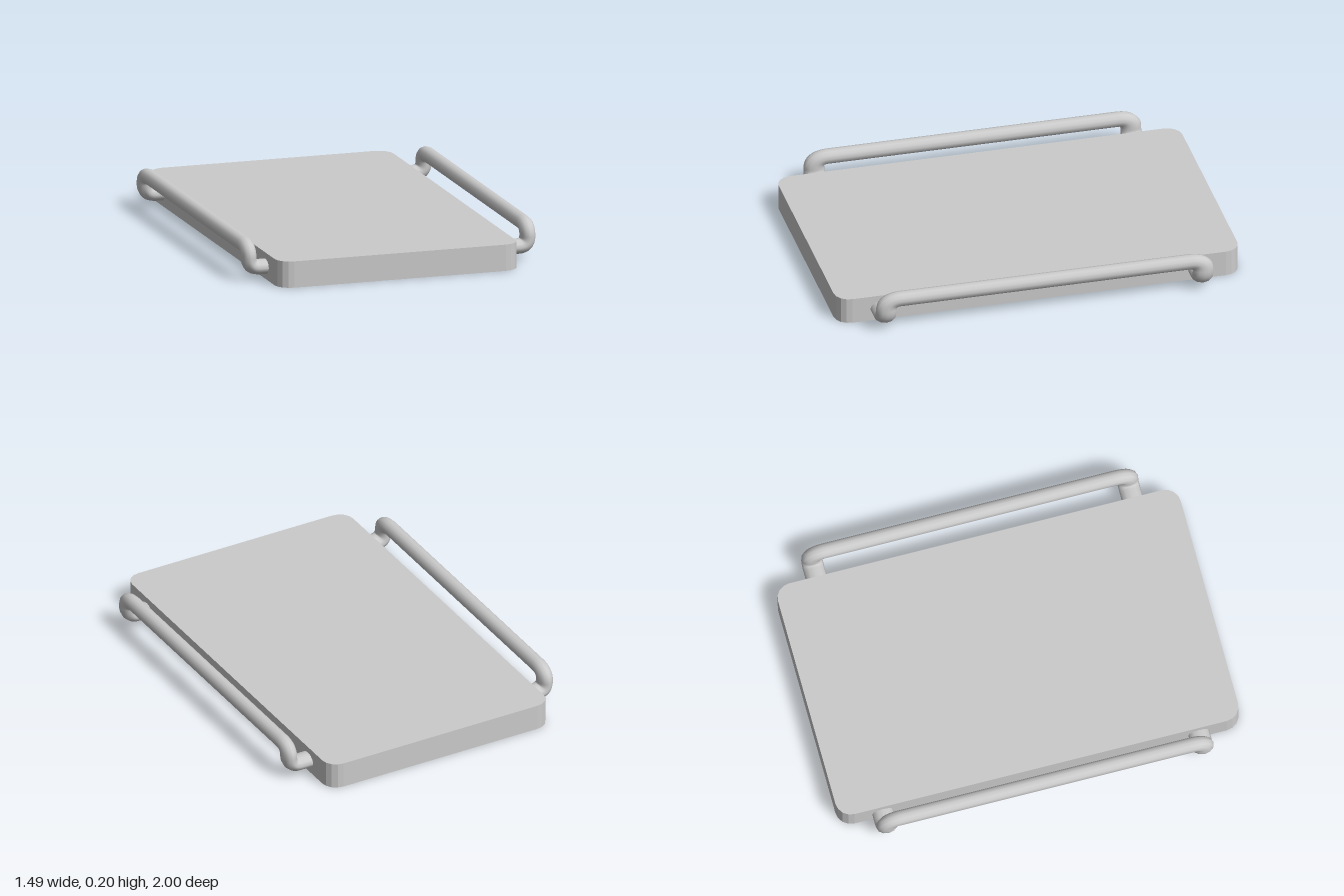
import * as THREE from 'three';

const material = new THREE.MeshStandardMaterial({ color: 0xcccccc });

// Flat slab with faceted rounded corners
function createBoard() {
  const x0 = -0.62, x1 = 0.60, z = 1, r = 0.075;
  const shape = new THREE.Shape();
  shape.moveTo(x0 + r, -z);
  shape.lineTo(x1 - r, -z);
  shape.absarc(x1 - r, -z + r, r, -Math.PI / 2, 0);
  shape.lineTo(x1, z - r);
  shape.absarc(x1 - r, z - r, r, 0, Math.PI / 2);
  shape.lineTo(x0 + r, z);
  shape.absarc(x0 + r, z - r, r, Math.PI / 2, Math.PI);
  shape.lineTo(x0, -z + r);
  shape.absarc(x0 + r, -z + r, r, Math.PI, Math.PI * 1.5);
  const geometry = new THREE.ExtrudeGeometry(shape, { depth: 0.13, bevelEnabled: false, curveSegments: 2 });
  geometry.rotateX(-Math.PI / 2);
  const board = new THREE.Mesh(geometry, material);
  board.name = 'board';
  return board;
}

// Bent tube: stub out of the board, up, along the side, and back in
function createHandle(side) {
  const stretch = 1.4; // tube is wider along z than it is tall
  const x = 0.706, low = 0.063, high = 0.163, z = 0.785 / stretch, bend = 0.05;
  const corners = [
    [0.58, low, z], [x, low, z], [x, high, z],
    [x, high, -z], [x, low, -z], [0.58, low, -z],
  ].map(([px, py, pz]) => new THREE.Vector3(side * px, py, pz));

  const path = new THREE.CurvePath();
  let from = corners[0];
  for (let i = 1; i < corners.length - 1; i++) {
    const toward = (p) => p.clone().sub(corners[i]).setLength(bend * 0.999).add(corners[i]);
    const start = toward(corners[i - 1]);
    const end = toward(corners[i + 1]);
    path.add(new THREE.LineCurve3(from, start));
    path.add(new THREE.QuadraticBezierCurve3(start, corners[i], end));
    from = end;
  }
  path.add(new THREE.LineCurve3(from, corners[corners.length - 1]));
  path.arcLengthDivisions = 800;

  const geometry = new THREE.TubeGeometry(path, 180, 0.037, 12, false);
  geometry.scale(1, 1, stretch);
  const handle = new THREE.Mesh(geometry, material);
  handle.name = side > 0 ? 'leftHandle' : 'rightHandle';
  return handle;
}

export function createModel() {
  const model = new THREE.Group();
  model.name = 'tray';
  model.add(createBoard());
  for (const side of [1, -1]) model.add(createHandle(side));
  return model;
}
